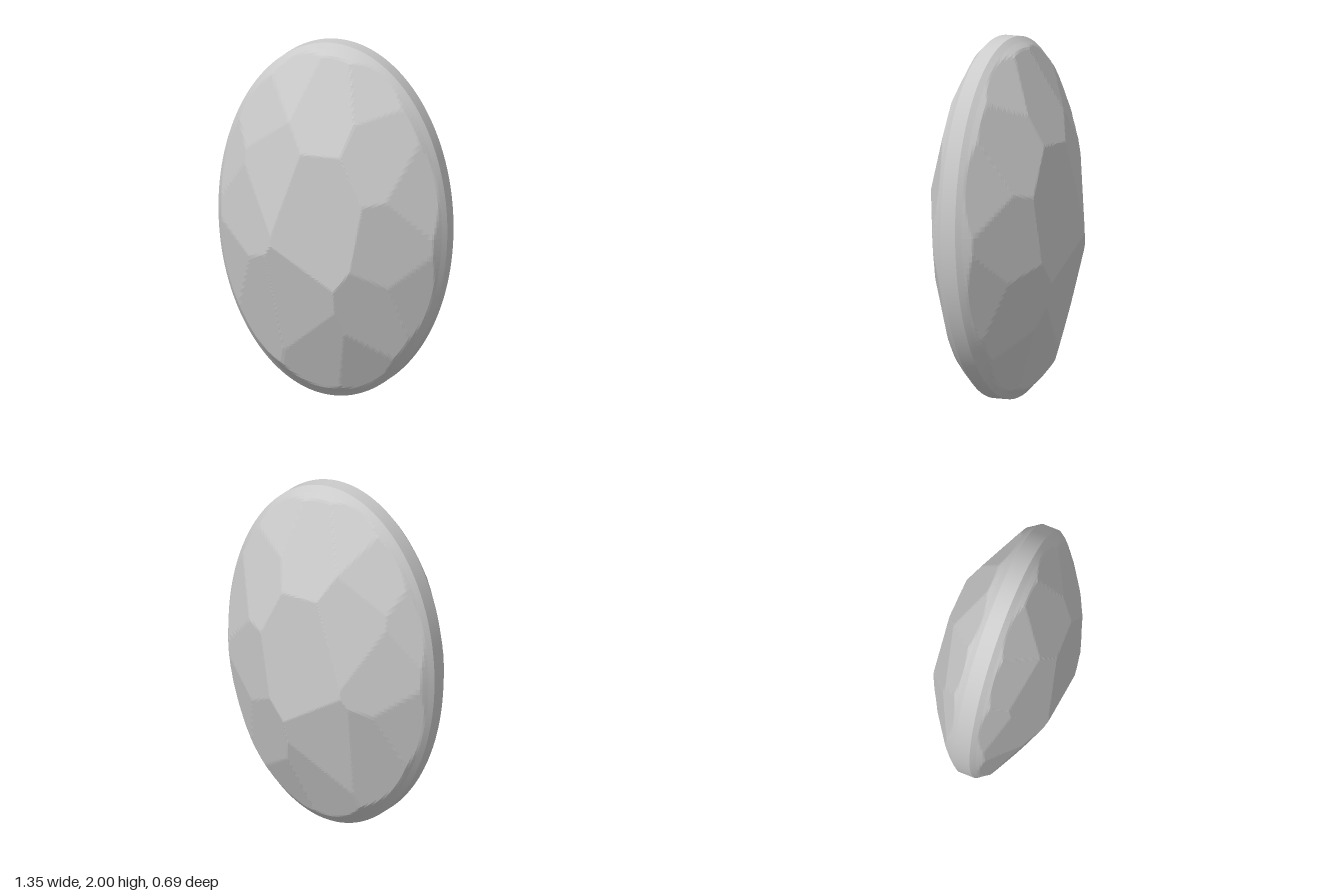
import * as THREE from 'three';
import { toCreasedNormals } from 'three/addons/utils/BufferGeometryUtils.js';

const RX = 0.675, RY = 1;      // rim radii
const INSET = 0.97;            // facets start inside the bevel
const BASE = 0.075, DOME = 0.255, POWER = 2.2;

// Centres of the cut facets, x and height
const seeds = [
  [0.03, 1.1], [0.02, 1.72], [-0.38, 1.6], [-0.2, 1.87], [0.3, 1.82],
  [0.38, 1.47], [0.57, 1.25], [0.44, 0.9], [-0.48, 1.08], [-0.31, 1.33],
  [-0.6, 1.32], [-0.58, 0.7], [-0.38, 0.5], [-0.13, 0.52], [-0.02, 0.27],
  [0.22, 0.17], [0.34, 0.5], [0.52, 0.62],
];

// Each facet is a plane tangent to a smooth oval dome
const facets = seeds.map(([x, h]) => {
  const ax = RX * INSET, ay = RY * INSET, y = h - 1;
  const r = Math.hypot(x / ax, y / ay);
  const k = -DOME * POWER * r ** (POWER - 2);
  return { x, y, z: BASE + DOME * (1 - r ** POWER), sx: k * x / ax ** 2, sy: k * y / ay ** 2 };
});

function cutHeight(x, y) {
  const r = Math.hypot(x / RX, y / RY) / INSET;
  let z = BASE + 1.1 * Math.max(0, 1 - r);   // keeps the edge on the rim
  for (const f of facets) z = Math.min(z, f.z + f.sx * (x - f.x) + f.sy * (y - f.y));
  return Math.max(BASE, z);
}

// One faceted face; the back is the mirror of the front
function facetedFace(side) {
  const geo = new THREE.RingGeometry(0, 1, 180, 72);
  geo.scale(RX * INSET, RY * INSET, 1);
  const p = geo.attributes.position;
  for (let i = 0; i < p.count; i++) p.setZ(i, cutHeight(side * p.getX(i), p.getY(i)));
  if (side < 0) geo.rotateY(Math.PI);
  geo.computeVertexNormals();
  return geo;
}

export function createModel() {
  const group = new THREE.Group();
  group.name = 'facetedOvalStone';
  const add = (name, geo, flatShading) => {
    const mesh = new THREE.Mesh(geo, new THREE.MeshStandardMaterial({ color: 0xcccccc, flatShading }));
    mesh.name = name;
    mesh.position.y = 1;
    group.add(mesh);
  };

  add('frontFacets', facetedFace(1), true);
  add('backFacets', facetedFace(-1), true);

  // Bevelled oval band
  const profile = [[INSET, -BASE], [1, -0.045], [1, 0.045], [INSET, BASE]]
    .map(([r, y]) => new THREE.Vector2(r, y));
  const rim = new THREE.LatheGeometry(profile, 180);
  rim.rotateX(Math.PI / 2);
  rim.scale(RX, RY, 1);
  add('rim', toCreasedNormals(rim, 0.4), false);

  return group;
}
